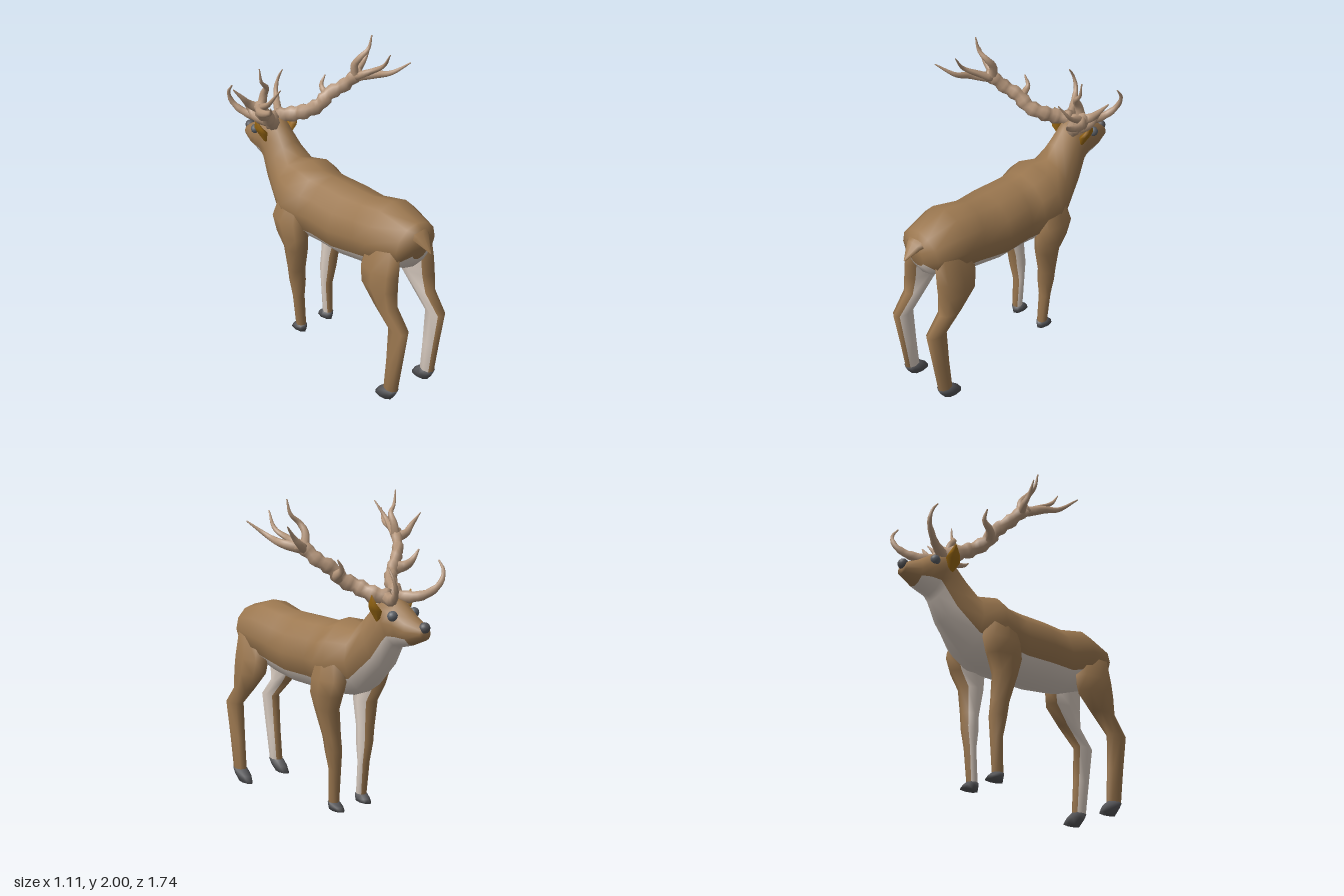
import * as THREE from 'three';

const V = (x, y, z) => new THREE.Vector3(x, y, z);
const mat = (color) => new THREE.MeshStandardMaterial({ color, side: THREE.DoubleSide });
const COAT = mat(0x9c7850), PALE = mat(0xd8cbc0), HORN = mat(0xb6977c);
const EAR = mat(0x9c6a14), HOOF = mat(0x555558), EYE = mat(0x5c6066);

// Skin a list of equal-length closed rings, cap the ends, and optionally
// split off the faces picked by isPale(ring, segment) into a second mesh.
function loft(name, rings, material, isPale = () => false) {
  const n = rings[0].length, pts = rings.flat(), main = [], pale = [];
  for (let j = 0; j < rings.length - 1; j++) {
    for (let i = 0; i < n; i++) {
      const k = (i + 1) % n, a = j * n + i, b = j * n + k;
      (isPale(j, i) ? pale : main).push(a, b, a + n, b, b + n, a + n);
    }
  }
  for (const j of [0, rings.length - 1]) {
    const c = rings[j].reduce((s, p) => s.add(p), V(0, 0, 0)).divideScalar(n);
    pts.push(c);
    for (let i = 0; i < n; i++) {
      const a = j * n + i, b = j * n + (i + 1) % n;
      main.push(pts.length - 1, ...(j ? [a, b] : [b, a]));
    }
  }
  // Turn the faces outward when the rings run the other way round
  const all = [...main, ...pale];
  let volume = 0;
  for (let f = 0; f < all.length; f += 3)
    volume += pts[all[f]].dot(pts[all[f + 1]].clone().cross(pts[all[f + 2]]));
  if (volume < 0) for (const list of [all, main, pale])
    for (let f = 0; f < list.length; f += 3) [list[f], list[f + 1]] = [list[f + 1], list[f]];

  const whole = new THREE.BufferGeometry().setFromPoints(pts);
  whole.setIndex(all);
  whole.computeVertexNormals();
  const group = new THREE.Group();
  group.name = name;
  for (const [list, m, label] of [[main, material, name], [pale, PALE, name + 'PaleSide']]) {
    if (!list.length) continue;
    const g = whole.clone();
    g.setIndex(list);
    const mesh = new THREE.Mesh(g, m);
    mesh.name = label;
    group.add(mesh);
  }
  return group;
}

// Upright ring of the trunk between a top and a bottom point
function bodyRing([tz, ty, bz, by, w], n = 12) {
  return Array.from({ length: n }, (_, i) => {
    const a = (i / n) * Math.PI * 2, t = (1 - Math.cos(a)) / 2;
    return V(Math.sin(a) * w, ty + (by - ty) * t, tz + (bz - tz) * t);
  });
}

// Level ring of a leg; s is the side, segments 3 and 4 face inward
function legRing([y, zf, zb, xi, xo], s, n = 8) {
  return Array.from({ length: n }, (_, i) => {
    const a = (i / n) * Math.PI * 2;
    return V(s * ((xi + xo) / 2 + Math.cos(a) * (xo - xi) / 2), y, (zf + zb) / 2 + Math.sin(a) * (zb - zf) / 2);
  });
}

// Tapered, slightly knotted horn along a curve
function horn(name, points, r0, r1, s, lump = 0) {
  const curve = new THREE.CatmullRomCurve3(points.map(([x, y, z]) => V(s * x, y, z)));
  const steps = points.length * 3, n = 7;
  const frames = curve.computeFrenetFrames(steps);
  const rings = [];
  for (let j = 0; j <= steps; j++) {
    const t = j / steps, c = curve.getPointAt(t);
    const r = (r0 + (r1 - r0) * t) * (1 + lump * Math.sin(j * 2.1));
    rings.push(Array.from({ length: n }, (_, i) => {
      const a = (i / n) * Math.PI * 2 + t * 2;
      return c.clone().addScaledVector(frames.normals[j], Math.cos(a) * r)
        .addScaledVector(frames.binormals[j], Math.sin(a) * r * 0.8);
    }));
  }
  return loft(name, rings, HORN);
}

function ball(name, r, material, x, y, z) {
  const mesh = new THREE.Mesh(new THREE.IcosahedronGeometry(r, 1), material);
  mesh.name = name;
  mesh.position.set(x, y, z);
  return mesh;
}

// Trunk, neck and head: topZ, topY, bottomZ, bottomY, half width
const BODY = [
  [0.80, 1.13, 0.77, 0.97, 0.07], [0.75, 1.20, 0.73, 0.90, 0.16],
  [0.54, 1.26, 0.55, 0.84, 0.215], [0.36, 1.225, 0.42, 0.79, 0.185],
  [0.20, 1.22, 0.20, 0.765, 0.22], [0.00, 1.22, 0.00, 0.76, 0.205],
  [-0.10, 1.22, -0.10, 0.76, 0.22], [-0.20, 1.255, -0.25, 0.77, 0.245],
  [-0.33, 1.23, -0.38, 0.82, 0.185], [-0.40, 1.31, -0.55, 0.99, 0.135],
  [-0.47, 1.39, -0.62, 1.11, 0.11], [-0.54, 1.45, -0.645, 1.14, 0.11],
  [-0.64, 1.42, -0.70, 1.155, 0.10], [-0.74, 1.35, -0.75, 1.17, 0.08],
  [-0.835, 1.30, -0.85, 1.215, 0.045],
];

// Legs and hooves: height, front z, back z, inner x, outer x
const LEGS = {
  hind: {
    leg: [[1.05, 0.48, 0.74, 0.06, 0.185], [0.88, 0.44, 0.75, 0.07, 0.22], [0.78, 0.46, 0.75, 0.08, 0.23],
      [0.66, 0.58, 0.75, 0.10, 0.215], [0.54, 0.70, 0.855, 0.11, 0.20], [0.30, 0.69, 0.815, 0.115, 0.195],
      [0.08, 0.675, 0.78, 0.12, 0.195]],
    hoof: [[0.085, 0.67, 0.785, 0.115, 0.2], [0.045, 0.625, 0.765, 0.115, 0.2], [0.0, 0.595, 0.73, 0.13, 0.19]],
  },
  front: {
    leg: [[1.10, -0.30, -0.12, 0.08, 0.205], [0.90, -0.36, -0.07, 0.09, 0.26], [0.80, -0.32, -0.06, 0.10, 0.255],
      [0.70, -0.26, -0.09, 0.09, 0.235], [0.52, -0.255, -0.14, 0.085, 0.20], [0.43, -0.26, -0.145, 0.08, 0.185],
      [0.30, -0.24, -0.17, 0.08, 0.165], [0.08, -0.225, -0.155, 0.085, 0.15]],
    hoof: [[0.085, -0.23, -0.15, 0.08, 0.155], [0.06, -0.26, -0.15, 0.075, 0.155], [0.035, -0.28, -0.15, 0.08, 0.15]],
  },
};

// Antler branches: path, start radius, end radius, knottiness
const ANTLER = {
  beam: [[[0.02, 1.43, -0.57], [0.09, 1.45, -0.50], [0.14, 1.49, -0.41], [0.20, 1.53, -0.36], [0.26, 1.60, -0.33],
    [0.33, 1.65, -0.28], [0.37, 1.71, -0.23], [0.41, 1.74, -0.19]], 0.052, 0.04, 0.16],
  browTine: [[[0.03, 1.43, -0.55], [0.08, 1.43, -0.64], [0.14, 1.46, -0.73], [0.18, 1.52, -0.785],
    [0.205, 1.59, -0.785], [0.205, 1.65, -0.745]], 0.045, 0.005, 0.08],
  middleTine: [[[0.23, 1.55, -0.35], [0.28, 1.57, -0.40], [0.29, 1.61, -0.45], [0.33, 1.67, -0.46]], 0.045, 0.005, 0],
  lowerBackTine: [[[0.39, 1.72, -0.21], [0.46, 1.74, -0.12], [0.48, 1.78, 0.0], [0.55, 1.86, 0.10]], 0.036, 0.004, 0],
  upperBackTine: [[[0.38, 1.72, -0.21], [0.42, 1.77, -0.12], [0.45, 1.82, -0.04], [0.43, 1.92, 0.04]], 0.034, 0.004, 0],
  outerTine: [[[0.37, 1.71, -0.22], [0.43, 1.74, -0.25], [0.48, 1.79, -0.25], [0.54, 1.86, -0.265]], 0.036, 0.004, 0],
  topTine: [[[0.38, 1.70, -0.22], [0.36, 1.80, -0.21], [0.37, 1.86, -0.17], [0.42, 1.91, -0.15],
    [0.44, 2.0, -0.14]], 0.036, 0.004, 0],
};

export function createModel() {
  const model = new THREE.Group();
  model.name = 'deer';

  // Body with pale belly, chest and throat; tail; nose
  model.add(loft('body', BODY.map((r) => bodyRing(r)), COAT, (j, i) => j < 13 && i >= 4 && i <= 7));
  const tail = [[0.72, 1.20, 0.72, 1.10, 0.10], [0.80, 1.145, 0.785, 1.09, 0.06], [0.87, 1.05, 0.867, 1.045, 0.004]];
  model.add(loft('tail', tail.map((r) => bodyRing(r, 8)), COAT));
  model.add(ball('nose', 0.034, HOOF, 0, 1.288, -0.838));

  for (const s of [1, -1]) {
    const side = s > 0 ? 'left' : 'right';

    // Legs with pale inner faces
    for (const [key, { leg, hoof }] of Object.entries(LEGS)) {
      const rings = (list) => list.map((r) => legRing(r, s));
      model.add(loft(`${side}_${key}Leg`, rings(leg), COAT, (j, i) => i === 3 || i === 4));
      model.add(loft(`${side}_${key}Hoof`, rings(hoof), HOOF));
    }

    // Eye and pointed leaf-shaped ear
    model.add(ball(`${side}_eye`, 0.032, EYE, s * 0.088, 1.342, -0.665));
    const earRings = [[0.095, 1.285, -0.55, 0.008], [0.12, 1.365, -0.555, 0.055], [0.145, 1.40, -0.56, 0.04], [0.16, 1.46, -0.565, 0.003]];
    model.add(loft(`${side}_ear`, earRings.map(([x, y, z, r]) => Array.from({ length: 6 }, (_, i) => {
      const a = (i / 6) * Math.PI * 2;
      return V(s * (x + Math.sin(a) * r * 0.45), y, z + Math.cos(a) * r);
    })), EAR));

    // Branching antler
    const antler = new THREE.Group();
    antler.name = `${side}_antler`;
    for (const [key, [path, r0, r1, lump]] of Object.entries(ANTLER)) antler.add(horn(key, path, r0, r1, s, lump));
    model.add(antler);
  }
  return model;
}
